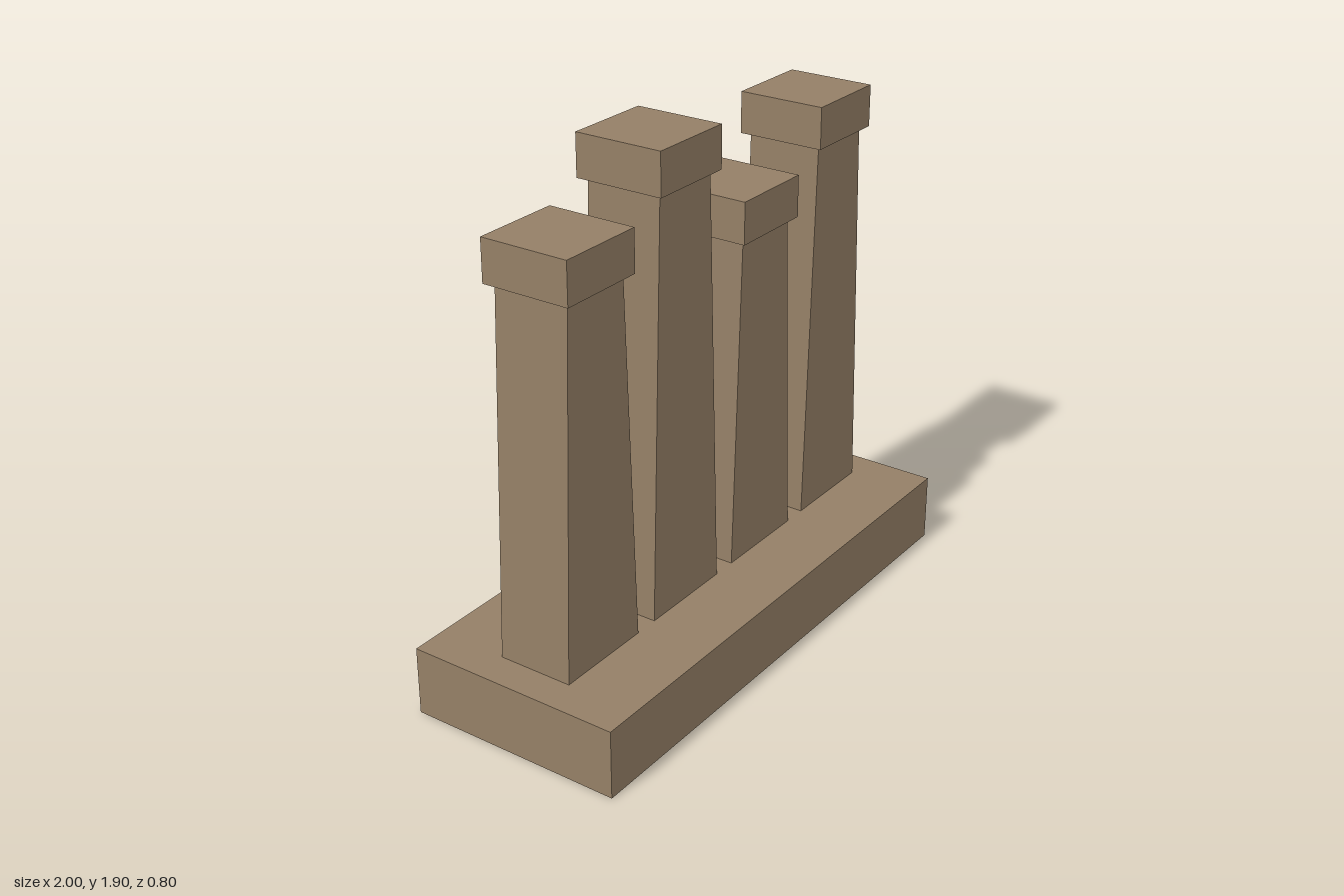
import * as THREE from 'three';

const stone = new THREE.MeshStandardMaterial({ color: 0x947f66 });
stone.name = 'stone';
const plaque = new THREE.MeshStandardMaterial({ color: 0xab7470 });
plaque.name = 'plaque';

const BASE_TOP = 0.25;

function addBox(parent, name, material, size, position) {
  const mesh = new THREE.Mesh(new THREE.BoxGeometry(...size), material);
  mesh.name = name;
  mesh.position.set(...position);
  parent.add(mesh);
}

// Shaft that narrows in x only, with straight front and back
function shaftGeometry(bottomHalf, topHalf, height, depth) {
  const shape = new THREE.Shape();
  shape.moveTo(-bottomHalf, 0);
  shape.lineTo(bottomHalf, 0);
  shape.lineTo(topHalf, height);
  shape.lineTo(-topHalf, height);
  shape.closePath();
  const geometry = new THREE.ExtrudeGeometry(shape, { depth, bevelEnabled: false });
  return geometry.translate(0, 0, -depth / 2);
}

// One pillar: tapered shaft, square cap, raised panel on the back
function createPillar(x, shaftTop) {
  const pillar = new THREE.Group();
  pillar.name = 'pillar';
  pillar.position.x = x;

  const shaft = new THREE.Mesh(shaftGeometry(0.185, 0.135, shaftTop - BASE_TOP, 0.277), stone);
  shaft.name = 'shaft';
  shaft.position.y = BASE_TOP;
  pillar.add(shaft);

  addBox(pillar, 'cap', stone, [0.325, 0.15, 0.325], [0, shaftTop + 0.075, 0]);
  addBox(pillar, 'backPanel', plaque, [0.24, 0.5, 0.02], [0, 0.95, -0.141]);
  return pillar;
}

export function createModel() {
  const model = new THREE.Group();
  model.name = 'pillarMonument';

  addBox(model, 'base', stone, [2, BASE_TOP, 0.8], [0, BASE_TOP / 2, 0]);

  // Four evenly spaced pillars of differing height
  [1.55, 1.75, 1.45, 1.65].forEach((top, i) => {
    model.add(createPillar(-0.69 + i * 0.46, top));
  });
  return model;
}
